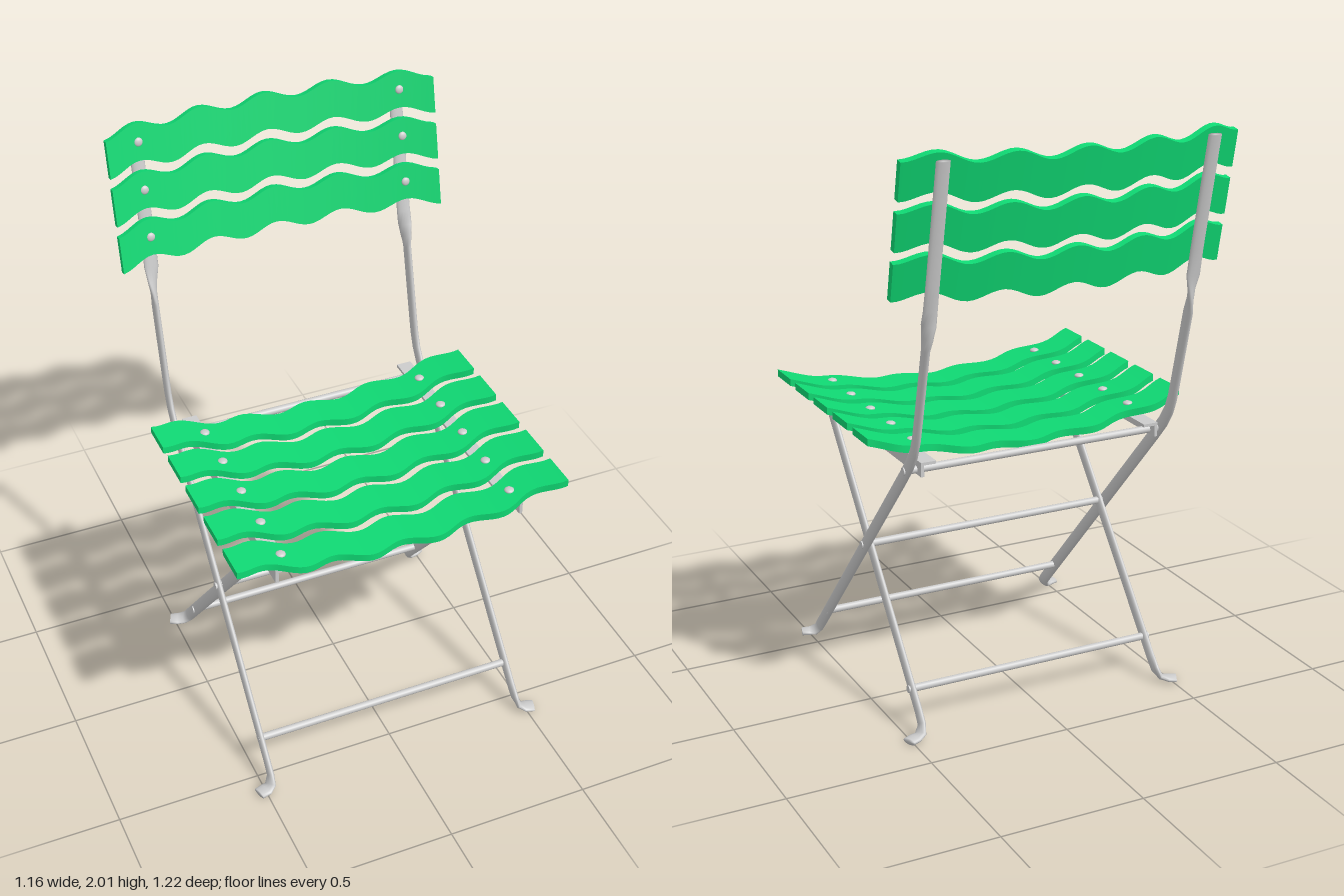
import * as THREE from 'three';

const metal = new THREE.MeshStandardMaterial({ color: 0xcccccc });
const paint = new THREE.MeshStandardMaterial({ color: 0x0fd873 });

const LEN = 1.16, WAVE = 0.234, TILT = 0.21;
const bow = x => 0.085 * (x / (LEN / 2)) ** 2;

// Wavy slat, bowed toward +z at its ends; rear face at z = 0
function slatGeometry() {
  const g = new THREE.BoxGeometry(LEN, 0.125, 0.025, 60, 1, 1);
  const p = g.attributes.position;
  for (let i = 0; i < p.count; i++) {
    const x = p.getX(i);
    p.setY(i, p.getY(i) + 0.017 * Math.cos(2 * Math.PI * x / WAVE));
    p.setZ(i, p.getZ(i) + 0.0125 + bow(x));
  }
  g.computeVertexNormals();
  return g;
}

// Flattened tube through stations [x, y, z, width direction, half width]; s mirrors it in x
function barGeometry(stations, s, thick = 0.011, sides = 14) {
  const pts = stations.map(a => new THREE.Vector3(a[0] * s, a[1], a[2]));
  const n = pts.length, pos = [], idx = [];
  const ring = (i, k) => {
    const t = pts[Math.min(i + 1, n - 1)].clone().sub(pts[Math.max(i - 1, 0)]).normalize();
    const [wx, wy, wz] = stations[i][3];
    const w = new THREE.Vector3(wx * s, wy, wz);
    w.addScaledVector(t, -w.dot(t)).normalize();
    const h = t.clone().cross(w);
    for (let j = 0; j < sides; j++) {
      const a = 2 * Math.PI * j / sides;
      const q = pts[i].clone()
        .addScaledVector(w, k * stations[i][4] * Math.cos(a))
        .addScaledVector(h, k * thick * Math.sin(a));
      pos.push(q.x, q.y, q.z);
    }
  };
  ring(0, 0);
  for (let i = 0; i < n; i++) ring(i, 1);
  ring(n - 1, 0);
  for (let i = 0; i < n + 1; i++) for (let j = 0; j < sides; j++) {
    const k = (j + 1) % sides;
    const a = i * sides + j, b = i * sides + k, c = b + sides, d = a + sides;
    idx.push(a, b, c, a, c, d);
  }
  const g = new THREE.BufferGeometry();
  g.setAttribute('position', new THREE.Float32BufferAttribute(pos, 3));
  g.setIndex(idx);
  g.computeVertexNormals();
  return g;
}

export function createModel() {
  const chair = new THREE.Group();
  chair.name = 'foldingChair';
  const add = (parent, name, geo, mat, x = 0, y = 0, z = 0) => {
    const m = new THREE.Mesh(geo, mat);
    m.name = name;
    m.position.set(x, y, z);
    parent.add(m);
    return m;
  };

  // A slat with two domed bolts
  const slatGeo = slatGeometry();
  const addSlat = (name, boltX, boltR) => {
    const group = new THREE.Group();
    group.name = name;
    add(group, 'slat', slatGeo, paint);
    for (const s of [-1, 1]) {
      const y = 0.017 * Math.cos(2 * Math.PI * boltX / WAVE);
      const bolt = add(group, 'bolt', new THREE.SphereGeometry(boltR, 16, 10), metal, s * boltX, y, 0.025 + bow(boltX));
      bolt.scale.z = 0.5;
    }
    chair.add(group);
    return group;
  };

  // Seat slats
  for (let i = 0; i < 5; i++) {
    const g = addSlat('seatSlat', 0.405, 0.017);
    g.position.set(0, 0.93, -0.17 + 0.172 * i);
    g.rotation.x = -Math.PI / 2;
  }

  // Backrest slats
  for (let i = 0; i < 3; i++) {
    const g = addSlat('backSlat', 0.465, 0.015);
    g.position.set(0, 1.92 - 0.16 * i, -0.588 + 0.034 * i);
    g.rotation.x = -TILT;
  }

  const flat = [0, 0, 1], rise = [0, 0.68, 0.73], fall = [0, -0.65, 0.76];
  const up = [0, 0.22, 0.97], side = [1, 0, 0];

  // Front leg, bent into the upright and twisted flat behind the slats
  const frontLeg = [
    [0.528, 0.013, 0.588, flat, 0.026], [0.5, 0.014, 0.58, flat, 0.028],
    [0.48, 0.02, 0.57, flat, 0.026], [0.471, 0.045, 0.55, [0, 0.4, 0.9], 0.024],
    [0.47, 0.08, 0.517, rise, 0.024], [0.47, 0.9, -0.243, rise, 0.024],
    [0.47, 0.96, -0.296, [0, 0.62, 0.78], 0.024], [0.47, 1.01, -0.33, [0, 0.48, 0.88], 0.024],
    [0.47, 1.06, -0.35, [0, 0.33, 0.94], 0.024], [0.47, 1.12, -0.366, up, 0.024],
    [0.47, 1.38, -0.43, up, 0.024], [0.469, 1.42, -0.44, [0.35, 0.2, 0.9], 0.025],
    [0.468, 1.46, -0.449, [0.75, 0.15, 0.65], 0.025], [0.466, 1.51, -0.459, side, 0.025],
    [0.465, 1.6, -0.477, side, 0.024], [0.465, 1.985, -0.56, side, 0.024],
  ];

  // Rear leg, running from the front pivot back to the ground
  const rearLeg = [
    [0.515, 0.013, -0.358, flat, 0.026], [0.49, 0.014, -0.347, flat, 0.028],
    [0.465, 0.02, -0.338, flat, 0.026], [0.452, 0.045, -0.32, [0, -0.4, 0.9], 0.024],
    [0.45, 0.08, -0.291, fall, 0.024], [0.45, 0.935, 0.435, fall, 0.024],
    [0.45, 0.95, 0.448, fall, 0.016],
  ];

  for (const s of [-1, 1]) {
    add(chair, 'frontLegAndUpright', barGeometry(frontLeg, s), metal);
    add(chair, 'rearLeg', barGeometry(rearLeg, s), metal);

    // Angle-section rail under the seat slats
    const angle = new THREE.Shape(
      [[0.438, 0.917], [0.438, 0.966], [0.385, 0.966], [0.385, 0.956], [0.427, 0.956], [0.427, 0.917]]
        .map(([x, y]) => new THREE.Vector2(x * s, y)));
    const rail = new THREE.ExtrudeGeometry(angle, { depth: 0.87, bevelEnabled: false });
    add(chair, 'seatRail', rail, metal, 0, 0, -0.312);

    // Front pivot pin
    const pin = new THREE.CylinderGeometry(0.018, 0.018, 0.05, 16).rotateZ(Math.PI / 2);
    add(chair, 'pivotPin', pin, metal, s * 0.447, 0.935, 0.435);
  }

  // Cross bars: half length, y, z
  const bars = [[0.48, 0.14, 0.461], [0.465, 0.14, -0.24], [0.485, 0.54, 0.095], [0.485, 0.932, -0.272]];
  for (const [half, y, z] of bars) {
    const g = new THREE.CylinderGeometry(0.013, 0.013, half * 2, 16).rotateZ(Math.PI / 2);
    add(chair, 'crossBar', g, metal, 0, y, z);
  }

  return chair;
}
